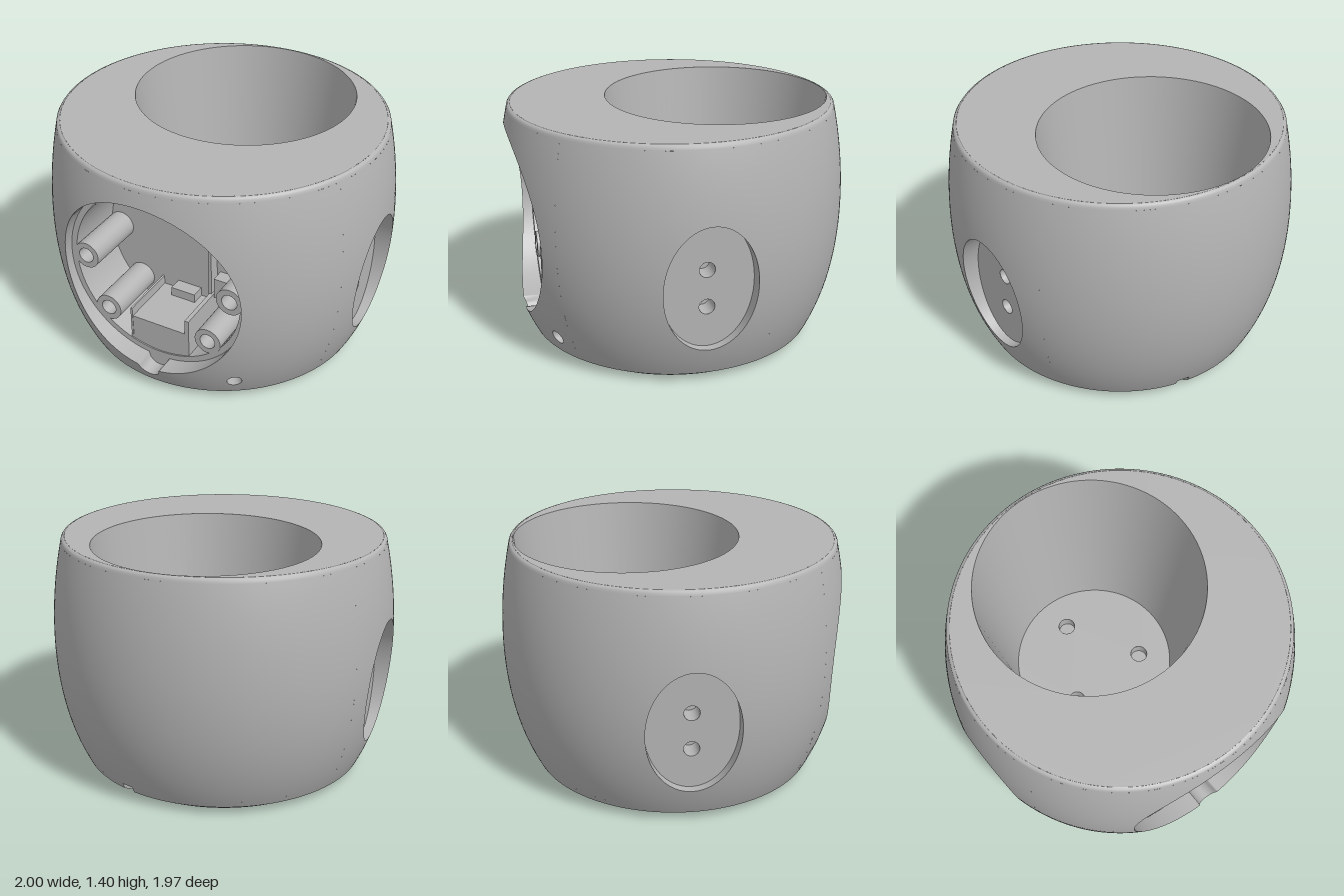
import * as THREE from 'three';
import { mergeGeometries } from 'three/addons/utils/BufferGeometryUtils.js';

const TAU = Math.PI * 2;
const Y0 = 0.05, Y1 = 1.37;          // barrel skin between chamfer and top rounding
const CUP_Z = -0.27, CUP_FLOOR = 0.2;
const SLOT = [0.22, 0.29], SLOT_TOP = 0.09;

// barrel radius at a height
function radius(y) {
  if (y < Y0) return 0.765 + (0.846 - 0.765) * (y / Y0);
  const d = y - 0.8, q = d * d;
  return 1.007 - (d > 0 ? 0.197 * q : q * (0.23 + 0.1 * q));
}
const onBarrel = (t, y) => [radius(y) * Math.sin(t), y, radius(y) * Math.cos(t)];

// surface from a rule f(u, v); skin gives exact smooth barrel normals
function grid(nu, nv, f, skin = false) {
  const pos = [], uv = [], idx = [];
  for (let j = 0; j <= nv; j++) for (let i = 0; i <= nu; i++) {
    pos.push(...f(i / nu, j / nv));
    uv.push(i / nu, j / nv);
    if (i < nu && j < nv) {
      const a = j * (nu + 1) + i, c = a + nu + 1;
      idx.push(a, a + 1, c, a + 1, c + 1, c);
    }
  }
  const g = new THREE.BufferGeometry();
  g.setAttribute('position', new THREE.Float32BufferAttribute(pos, 3));
  g.setAttribute('uv', new THREE.Float32BufferAttribute(uv, 2));
  g.setIndex(idx);
  g.computeVertexNormals();
  if (skin) {
    const p = g.attributes.position, n = new THREE.Vector3();
    for (let i = 0; i < p.count; i++) {
      const y = p.getY(i), t = Math.atan2(p.getX(i), p.getZ(i));
      const slope = (radius(y + 0.002) - radius(Math.max(y - 0.002, Y0))) / (y + 0.002 - Math.max(y - 0.002, Y0));
      n.set(Math.sin(t), -slope, Math.cos(t)).normalize();
      g.attributes.normal.setXYZ(i, n.x, n.y, n.z);
    }
  }
  return g;
}

const patch = (t0, t1, y0, y1, nu, nv, skin = true) => grid(nu, nv, (u, v) => {
  const y = y0 + (y1 - y0) * v;
  return onBarrel(t0(y) + (t1(y) - t0(y)) * u, y);
}, skin);

// barrel skin around an opening (facing +z) plus the opening's side wall
function opening(outline, cy, corners, depth, n) {
  const inner = [], outer = [], rel = corners.map(([t, y]) => [t, y - cy]);
  for (let i = 0; i < n; i++) {
    const [x, dy] = outline(i / n * TAU), t = Math.asin(x / radius(cy + dy));
    inner.push([t, cy + dy]);
    let best = Infinity;
    rel.forEach((a, k) => {
      const b = rel[(k + 1) % rel.length], e = [b[0] - a[0], b[1] - a[1]];
      const det = t * e[1] - dy * e[0];
      const s = (a[0] * e[1] - a[1] * e[0]) / det, w = (a[0] * dy - a[1] * t) / det;
      if (s > 0 && w > -1e-6 && w < 1 + 1e-6) best = Math.min(best, s);
    });
    outer.push([t * best, cy + dy * best]);
  }
  // snap the closest sample onto every corner
  rel.forEach((c, k) => {
    let at = 0, top = -2;
    inner.forEach(([t, y], i) => {
      const d = (t * c[0] + (y - cy) * c[1]) / Math.hypot(t, y - cy) / Math.hypot(...c);
      if (d > top) { top = d; at = i; }
    });
    outer[at] = corners[k];
  });
  const skin = grid(n, 10, (u, v) => {
    const i = Math.round(u * n) % n, a = outer[i], b = inner[i];
    return onBarrel(a[0] + (b[0] - a[0]) * v, a[1] + (b[1] - a[1]) * v);
  }, true);
  const wall = grid(n, 1, (u, v) => {
    const p = onBarrel(...inner[Math.round(u * n) % n]);
    return v ? [p[0], p[1], depth] : p;
  });
  return { skin, wall };
}

const ellipse = (a, b) => p => [a * Math.cos(p), b * Math.sin(p)];
const box = (t, y0, y1) => [[t, y0], [t, y1], [-t, y1], [-t, y0]];
const disc = (r, x = 0, y = 0) => new THREE.Shape().absarc(x, y, r, 0, TAU);
const polygon = pts => new THREE.Shape(pts.map(p => new THREE.Vector2(...p)));
const loop = (f, cy, n) => polygon(Array.from({ length: n }, (_, i) => {
  const [x, y] = f(i / n * TAU);
  return [x, cy + y];
}));
function flat(shape, holes = [], z = 0) {
  shape.holes.push(...holes);
  return new THREE.ShapeGeometry(shape, 48).translate(0, 0, z);
}
// round blind hole going down -z from its mouth
function blindHole(x, y, z, r, depth) {
  return mergeGeometries([
    new THREE.CylinderGeometry(r, r, depth, 32, 1, true).rotateX(Math.PI / 2).translate(0, 0, -depth / 2),
    new THREE.CircleGeometry(r, 32).translate(0, 0, -depth)
  ]).translate(x, y, z);
}

export function createModel() {
  const root = new THREE.Group(), body = new THREE.Group();
  body.name = 'housing';
  body.position.z = 0.025;
  root.add(body);
  const grey = new THREE.MeshStandardMaterial({ color: 0xb4b4b4, side: THREE.DoubleSide });
  grey.name = 'plain grey';
  const add = (name, g, turn = 0) => {
    const m = new THREE.Mesh(g, grey);
    m.name = name;
    m.rotation.y = turn;
    body.add(m);
  };

  // front opening: circle with a small finger notch at the bottom
  const frontOutline = p => {
    let r = 0.555;
    const b = -0.55 * Math.sin(p), q = 0.067 ** 2 - 0.55 ** 2 + b * b;
    if (b > 0 && q > 0) r = Math.max(r, b + Math.sqrt(q));
    return [r * Math.cos(p), r * Math.sin(p)];
  };
  const FY = 0.73, LIP = 0.78, BACK = 0.42;
  const front = opening(frontOutline, FY, [[0.7, 0.27], [0.7, Y1], [-0.7, Y1], [-0.7, 0.27],
    [-0.42, 0.27], [-0.42, Y0], [0.42, Y0], [0.42, 0.27]], LIP, 360);
  add('frontSkin', front.skin);
  add('frontRim', front.wall);
  add('lidLedge', flat(loop(frontOutline, FY, 360), [disc(0.52, 0, FY)], LIP));
  add('compartmentWall', new THREE.CylinderGeometry(0.52, 0.52, LIP - BACK, 96, 1, true)
    .rotateX(Math.PI / 2).translate(0, FY, (LIP + BACK) / 2));
  add('compartmentBack', new THREE.CircleGeometry(0.52, 96).translate(0, FY, BACK));

  // screw posts inside the compartment
  for (const [x, y] of [[-0.455, 0.73], [0.455, 0.73], [-0.325, 0.41], [0.32, 0.41]]) {
    const s = disc(0.08, x, y);
    s.holes.push(disc(0.046, x, y));
    add('screwPost', new THREE.ExtrudeGeometry(s, { depth: LIP + 0.005 - BACK, bevelEnabled: false, curveSegments: 24 })
      .translate(0, 0, BACK));
  }
  // tray and connector frame: x0, x1, y0, y1, front z
  const blocks = {
    tray: [-0.175, 0.175, 0.205, 0.395, 0.772],
    trayLeftWall: [0.17, 0.195, 0.24, 0.49, 0.775],
    trayRightWall: [-0.185, -0.173, 0.24, 0.45, 0.775],
    trayStop: [-0.078, 0.076, 0.39, 0.45, 0.5],
    connectorSide: [0.163, 0.183, 0.48, 0.797, 0.49],
    connectorTop: [0.163, 0.44, 0.78, 0.797, 0.49],
    connectorOuterSide: [0.42, 0.44, 0.48, 0.797, 0.49],
    connectorBlock: [0.205, 0.4, 0.48, 0.61, 0.5]
  };
  for (const [name, [x0, x1, y0, y1, z]] of Object.entries(blocks)) {
    add(name, new THREE.BoxGeometry(x1 - x0, y1 - y0, z - BACK)
      .translate((x0 + x1) / 2, (y0 + y1) / 2, (z + BACK) / 2));
  }

  // both sides: oval recess with two screw holes; lower front: angled screw holes
  for (const s of [1, -1]) {
    const turn = s * Math.PI / 2, oval = ellipse(0.26, 0.373), holes = [0.68, 0.465];
    const side = opening(oval, 0.603, box(0.4, Y0, Y1), 0.87, 160);
    add('sideSkin', side.skin, turn);
    add('ovalRim', side.wall, turn);
    add('ovalFloor', flat(loop(oval, 0.603, 160), holes.map(y => disc(0.044, 0, y)), 0.87), turn);
    holes.forEach(y => add('sideScrewHole', blindHole(0, y, 0.87, 0.044, 0.12), turn));

    const screw = opening(ellipse(0.042, 0.042), 0.17, box(0.14, Y0, 0.27), 0.76, 48);
    add('lowerSkin', screw.skin, s * 0.56);
    add('lowerScrewHole', screw.wall, s * 0.56);
    add('lowerScrewHoleEnd', new THREE.CircleGeometry(0.042, 32).translate(0, 0.17, 0.76), s * 0.56);

    const c = s * (0.7 + Math.PI / 2 - 0.4) / 2, h = (Math.PI / 2 - 0.4 - 0.7) / 2;
    add('cornerSkin', patch(() => c - h, () => c + h, Y0, Y1, 16, 24));
  }

  // back skin and chamfer, split by the cable slot
  const slotAt = x => y => Math.PI - Math.asin(x / radius(y));
  const a = Math.PI / 2 + 0.4, b = TAU - a;
  add('backSkin', patch(() => a, () => b, SLOT_TOP, Y1, 72, 24));
  add('backSkinLower', patch(() => a, slotAt(SLOT[1]), Y0, SLOT_TOP, 30, 2));
  add('backSkinLower', patch(slotAt(SLOT[0]), () => b, Y0, SLOT_TOP, 42, 2));
  add('bottomChamfer', patch(slotAt(SLOT[0]), y => slotAt(SLOT[1])(y) + TAU, 0, Y0, 160, 1, false));

  // cable slot along the underside, ending in a rectangular pocket
  const slotPath = y => {
    const edge = x => [x, -Math.sqrt(radius(y) ** 2 - x * x)];
    return [edge(SLOT[0]), [SLOT[0], 0.4], [0.2, 0.4], [0.2, 0.53], [0.38, 0.53], [0.38, 0.4], [SLOT[1], 0.4], edge(SLOT[1])];
  };
  const levels = [0, Y0, SLOT_TOP];
  add('cableSlotWalls', grid(7, 2, (u, v) => {
    const y = levels[Math.round(v * 2)], p = slotPath(y)[Math.round(u * 7)];
    return [p[0], y, p[1]];
  }).toNonIndexed());
  body.children.at(-1).geometry.computeVertexNormals();
  const level = (pts, y) => flat(polygon(pts.map(([x, z]) => [x, z]))).rotateX(Math.PI / 2).translate(0, y, 0);
  add('cableSlotCeiling', level(slotPath(SLOT_TOP), SLOT_TOP));
  const t0 = slotAt(SLOT[0])(0), t1 = slotAt(SLOT[1])(0) + TAU;
  const rim = Array.from({ length: 159 }, (_, i) => {
    const p = onBarrel(t0 + (t1 - t0) * (i + 1) / 160, 0);
    return [p[0], p[2]];
  });
  add('underside', level([...slotPath(0), ...rim.reverse()], 0));

  // rounded top edge, top face and tapered cup well
  const top = [[radius(Y1), Y1], [0.94, 1.385], [0.933, 1.395], [0.92, 1.4]];
  add('topEdge', new THREE.LatheGeometry(top.map(p => new THREE.Vector2(...p)), 128));
  const lay = (g, y) => g.rotateX(-Math.PI / 2).translate(0, y, 0);
  add('topFace', lay(flat(disc(0.92), [disc(0.645, 0, -CUP_Z)]), 1.4));
  add('cupWall', new THREE.CylinderGeometry(0.645, 0.495, 1.4 - CUP_FLOOR, 96, 1, true)
    .translate(0, (1.4 + CUP_FLOOR) / 2, CUP_Z));
  const feet = [[0, 0.565], [-0.255, 0.12], [0.255, 0.12]];
  add('cupFloor', lay(flat(disc(0.495, 0, -CUP_Z), feet.map(([x, y]) => disc(0.052, x, y))), CUP_FLOOR));
  feet.forEach(([x, y]) => add('cupFloorHole', lay(blindHole(x, y, 0, 0.052, 0.08), CUP_FLOOR)));
  return root;
}
